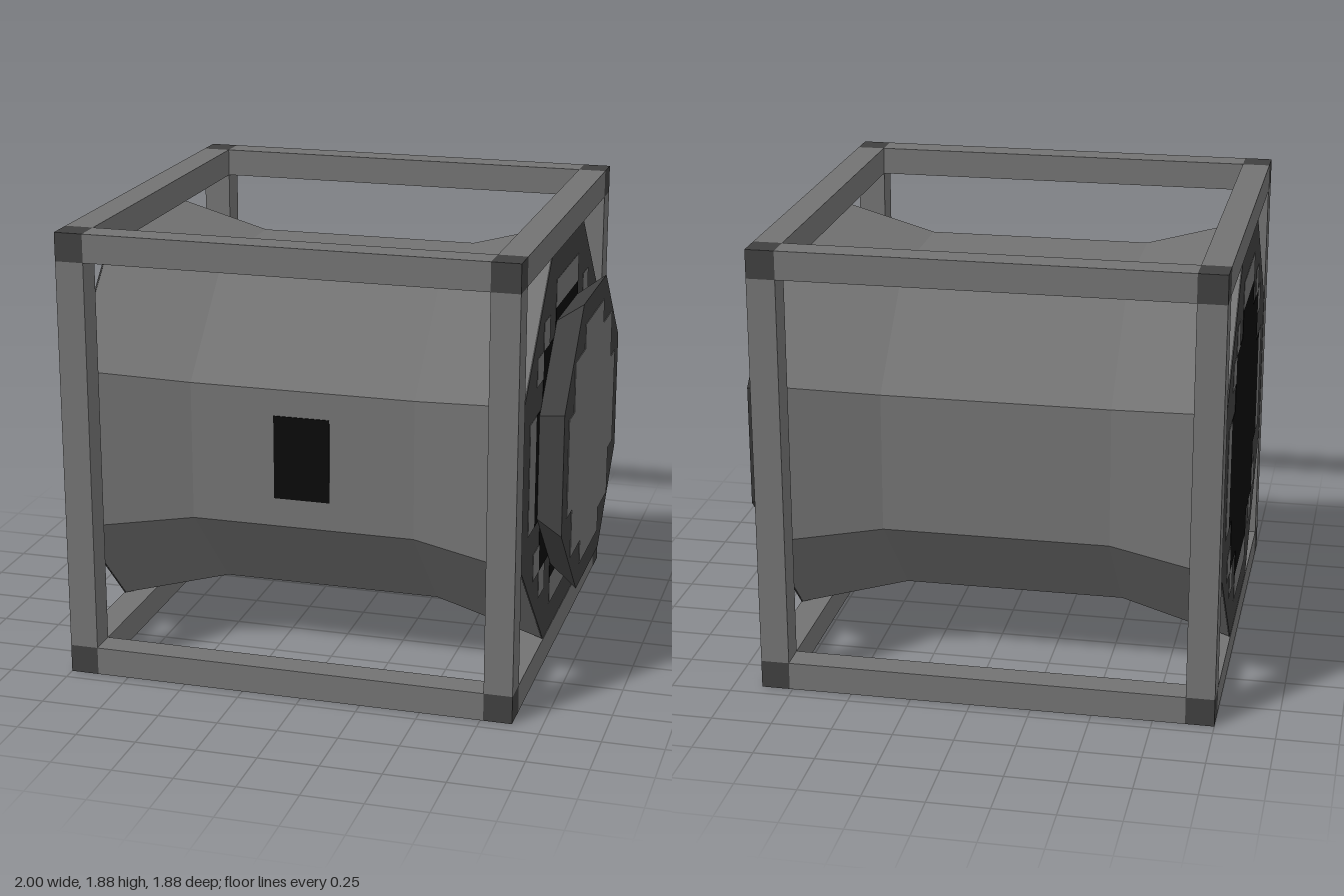
import * as THREE from 'three';

const P = 0.1175;            // basic grid step: bar thickness and panel cell
const H = 0.94;              // half size of the cage, also the height of its centre
const CX = -0.06;            // cage centre along x
const OCT = Math.cos(Math.PI / 8);

const mat = (name, color, extra = {}) => {
  const m = new THREE.MeshStandardMaterial({ color, ...extra });
  m.name = name;
  return m;
};

export function createModel() {
  const light = mat('midGrey', 0x727272);
  const lightFlat = mat('midGrey', 0x727272, { flatShading: true, side: THREE.DoubleSide });
  const dark = mat('darkGrey', 0x3f3f3f, { flatShading: true });
  const black = mat('black', 0x0a0a0a);
  const root = new THREE.Group();

  const add = (name, geo, material, x = 0, y = 0, z = 0, parent = root) => {
    const m = new THREE.Mesh(geo, material);
    m.name = name;
    m.position.set(x, y, z);
    parent.add(m);
    return m;
  };

  // Cage: four bars along each axis and a cube in each corner
  const cage = new THREE.Group();
  cage.name = 'cage';
  cage.position.set(CX, H, 0);
  root.add(cage);
  const e = H - P / 2, len = 2 * H - 2 * P;
  for (const a of [-e, e]) for (const b of [-e, e]) {
    add('barX', new THREE.BoxGeometry(len, P, P), light, 0, a, b, cage);
    add('barY', new THREE.BoxGeometry(P, len, P), light, a, 0, b, cage);
    add('barZ', new THREE.BoxGeometry(P, P, len), light, a, b, 0, cage);
    for (const c of [-e, e]) add('cornerCube', new THREE.BoxGeometry(P, P, P), dark, a, b, c, cage);
  }

  // Waisted octagonal barrel lying along x
  const profile = [[-0.938, 0.822], [-0.47, 0.705], [0.47, 0.705], [0.938, 0.822]]
    .map(([x, r]) => new THREE.Vector2(r / OCT, x));
  const barrel = new THREE.LatheGeometry(profile, 8, Math.PI / 8).rotateZ(-Math.PI / 2);
  add('barrel', barrel, lightFlat, CX, H, 0);

  // Stepped core panel, mirrored from one quarter
  const quarter = [[5, 2], [4, 2], [4, 4], [2, 4], [2, 5]];
  const back = [...quarter].reverse();
  const outline = [
    ...quarter, ...back.map(([a, b]) => [-a, b]),
    ...quarter.map(([a, b]) => [-a, -b]), ...back.map(([a, b]) => [a, -b]),
  ];
  const core = (cell, depth) => new THREE.ExtrudeGeometry(
    new THREE.Shape(outline.map(([a, b]) => new THREE.Vector2(a * cell, b * cell))),
    { depth, bevelEnabled: false }).translate(0, 0, -depth / 2).rotateY(Math.PI / 2);

  // Octagonal end plates with a black core and a broken ring of cells
  for (const s of [-1, 1]) {
    const end = new THREE.Group();
    end.name = s > 0 ? 'leftEnd' : 'rightEnd';
    end.position.set(CX + s * 0.935, H, 0);
    root.add(end);
    const disc = new THREE.CylinderGeometry(0.822 / OCT, 0.822 / OCT, 0.006, 8, 1, false, Math.PI / 8);
    add('endPlate', disc.rotateZ(-Math.PI / 2), dark, 0, 0, 0, end);
    add('blackCore', core(P, 0.004), black, s * 0.003, 0, 0, end);
    const cell = (y, z, h, w) =>
      add('ringCell', new THREE.BoxGeometry(0.004, h * P, w * P), light, s * 0.003, y * P, z * P, end);
    for (const i of [-1, 1]) {
      cell(5.5 * i, 0, 1, 4);
      cell(0, 5.5 * i, 4, 1);
      for (const j of [-1, 1]) {
        cell(4.5 * i, 3.5 * j, 1, 1);
        cell(3.5 * i, 4.5 * j, 1, 1);
      }
    }
  }

  // Flared octagonal cap on one end
  const cap = new THREE.CylinderGeometry(0.615 / OCT, 0.53 / OCT, 0.117, 8, 1, false, Math.PI / 8);
  add('cap', cap.rotateZ(-Math.PI / 2), dark, 0.9385, H, 0);
  add('capPanel', core(0.104, 0.006), light, 0.997, H, 0);

  // Small dark window on the front of the barrel
  add('window', new THREE.BoxGeometry(2 * P, 3 * P, 0.008), black, CX, 0.945, 0.705);

  return root;
}
